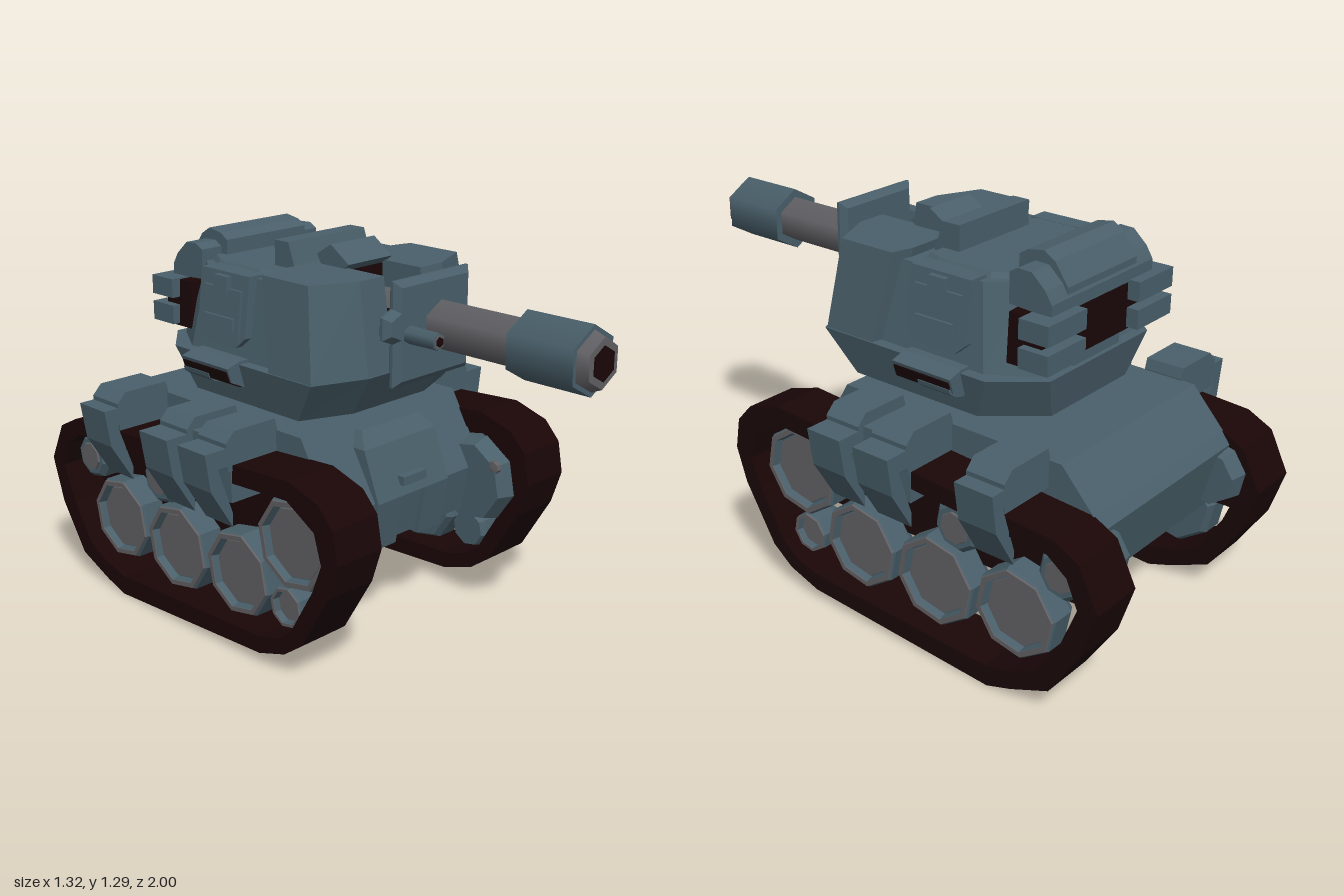
import * as THREE from 'three';

const paint = new THREE.MeshStandardMaterial({ color: 0x495f6a });
paint.name = 'blueGreyPaint';
const rubber = new THREE.MeshStandardMaterial({ color: 0x1a0607 });
rubber.name = 'darkTrack';
const steel = new THREE.MeshStandardMaterial({ color: 0x606064 });
steel.name = 'bareSteel';

// Faceted normals for the low-poly look, except on rounded rods
function flat(geo) {
  if (geo.userData.smooth) return geo;
  const g = geo.index ? geo.toNonIndexed() : geo;
  g.computeVertexNormals();
  return g;
}

// Mirrored copy across x = 0 with the corner order restored
function mirrored(geo) {
  const g = geo.clone();
  const p = g.attributes.position;
  for (let i = 0; i < p.count; i += 3) {
    const t = [0, 2, 1].map(k => [-p.getX(i + k), p.getY(i + k), p.getZ(i + k)]);
    t.forEach((v, k) => p.setXYZ(i + k, ...v));
  }
  return flat(g);
}

const shapeOf = pts => new THREE.Shape(pts.map(p => new THREE.Vector2(...p)));

// Side profile of [z, y] points, extruded from x0 to x1
function alongX(pts, x0, x1, hole) {
  const s = shapeOf(pts);
  if (hole) s.holes.push(shapeOf(hole));
  return new THREE.ExtrudeGeometry(s, { depth: x1 - x0, bevelEnabled: false })
    .rotateY(-Math.PI / 2).translate(x1, 0, 0);
}

// Front profile of [x, y] points, extruded from z0 to z1
function alongZ(pts, z0, z1, bevel = 0) {
  return new THREE.ExtrudeGeometry(shapeOf(pts), {
    depth: z1 - z0, bevelEnabled: bevel > 0, bevelSize: bevel, bevelThickness: bevel, bevelOffset: -bevel, bevelSegments: 1
  }).translate(0, 0, z0);
}

function box(x0, x1, y0, y1, z0, z1) {
  return new THREE.BoxGeometry(x1 - x0, y1 - y0, z1 - z0)
    .translate((x0 + x1) / 2, (y0 + y1) / 2, (z0 + z1) / 2);
}

// Six-sided rod along z with rounded shading
function rod(x, y, z0, z1, rBack, rFront) {
  const g = new THREE.CylinderGeometry(rFront, rBack, z1 - z0, 6)
    .rotateX(Math.PI / 2).translate(x, y, (z0 + z1) / 2);
  g.userData.smooth = true;
  return g;
}

// Turned solid around x; profile of [radius, x] points
function turned(pts, y, z) {
  return new THREE.LatheGeometry(pts.map(p => new THREE.Vector2(...p)), 8, 0.2)
    .rotateZ(-Math.PI / 2).translate(0, y, z);
}

// Solid between two half outlines of [x, z] points, each listed front to back
function frustum(low, high, y0, y1) {
  const full = h => [...h, ...h.map(([x, z]) => [-x, z]).reverse()];
  const a = full(low), b = full(high), n = a.length, v = [];
  const put = (loop, y, i) => v.push(loop[i][0], y, loop[i][1]);
  for (let i = 0; i < n; i++) {
    const j = (i + 1) % n;
    put(a, y0, i); put(a, y0, j); put(b, y1, j);
    put(a, y0, i); put(b, y1, j); put(b, y1, i);
  }
  const cap = loop => THREE.ShapeUtils.triangulateShape(loop.map(([x, z]) => new THREE.Vector2(x, -z)), []);
  cap(a).forEach(t => [t[0], t[2], t[1]].forEach(i => put(a, y0, i)));
  cap(b).forEach(t => t.forEach(i => put(b, y1, i)));
  const g = new THREE.BufferGeometry();
  g.setAttribute('position', new THREE.Float32BufferAttribute(v, 3));
  return g;
}

export function createModel() {
  const model = new THREE.Group();
  model.name = 'tank';
  const add = (name, geo, mat = paint) => {
    const mesh = new THREE.Mesh(flat(geo), mat);
    mesh.name = name;
    model.add(mesh);
    return mesh;
  };
  const pair = (name, geo, mat = paint) => {
    const m = add(name + 'Left', geo, mat);
    add(name + 'Right', mirrored(m.geometry), mat);
  };

  // Hull with raised glacis panel
  add('hull', alongX([[0.24, 0.33], [0.27, 0.49], [0.13, 0.73], [-0.73, 0.73], [-0.85, 0.6], [-0.88, 0.56], [-0.82, 0.33]], -0.365, 0.365));
  add('glacisPanel', frustum([[0.17, 0.285], [0.17, 0.1]], [[0.17, 0.22], [0.17, 0.1]], 0.49, 0.66));
  add('glacisPanelTop', frustum([[0.17, 0.22], [0.17, 0.1]], [[0.135, 0.175], [0.135, 0.1]], 0.66, 0.71));
  pair('lowerFrontPlate', alongX([[0.2, 0.315], [0.255, 0.315], [0.285, 0.49], [0.2, 0.49]], 0.055, 0.17));
  add('towBlock', box(-0.055, 0.055, 0.525, 0.555, 0.2, 0.29));

  // Tracks and the dark plate behind the wheels
  const outer = [[0.48, 0.46], [0.46, 0.57], [0.4, 0.635], [0.27, 0.675], [-0.84, 0.605], [-0.93, 0.56], [-1, 0.42], [-0.95, 0.26],
    [-0.84, 0.09], [-0.7, 0.03], [-0.61, 0], [0.12, 0.04], [0.24, 0.08], [0.32, 0.14], [0.44, 0.34]];
  const inner = [[0.41, 0.44], [0.38, 0.54], [0.26, 0.61], [-0.82, 0.55], [-0.89, 0.5], [-0.93, 0.41],
    [-0.88, 0.28], [-0.79, 0.14], [-0.7, 0.095], [-0.6, 0.07], [0.12, 0.1], [0.21, 0.125], [0.27, 0.17], [0.37, 0.34]];
  pair('track', alongX(outer, 0.36, 0.55, inner), rubber);
  pair('trackBackPlate', alongX([[0.38, 0.3], [0.44, 0.47], [0.4, 0.58], [0.27, 0.63], [-0.83, 0.57], [-0.95, 0.45], [-0.92, 0.32]], 0.387, 0.41), rubber);

  // Wheels set inside the track: [name, z, y, radius, groove ratio]
  [['roadWheelFront', -0.04, 0.25, 0.152, 0.84], ['roadWheelMiddle', -0.355, 0.245, 0.157, 0.84], ['roadWheelRear', -0.67, 0.26, 0.152, 0.84],
    ['driveWheel', 0.225, 0.435, 0.16, 0.84], ['tensionWheel', 0.195, 0.21, 0.072, 0.8]].forEach(([name, z, y, r, f]) => {
    pair(name, turned([[0, 0.39], [r * 0.9, 0.39], [r, 0.415], [r, 0.49], [r * 0.95, 0.5], [r * f, 0.5], [r * f * 0.95, 0.475], [0, 0.475]], y, z));
    pair(name + 'Rim', turned([[r * f, 0.498], [r * 0.97, 0.498], [r * 0.95, 0.504], [r * f, 0.504], [r * f, 0.498]], y, z), steel);
    pair(name + 'Face', turned([[0, 0.472], [r * f * 0.92, 0.472], [r * f * 0.9, 0.482], [0, 0.482]], y, z), steel);
  });
  // Painted rollers with a steel centre
  [['returnRoller', -0.44, 0.47, 0.09], ['rearIdler', -0.83, 0.455, 0.086]].forEach(([name, z, y, r]) => {
    pair(name, turned([[0, 0.39], [r, 0.39], [r, 0.48], [r * 0.8, 0.5], [0, 0.5]], y, z));
    pair(name + 'Face', turned([[0, 0.498], [r * 0.62, 0.498], [r * 0.58, 0.507], [0, 0.507]], y, z), steel);
  });
  // Inner hubs beside the hull
  [['driveHub', 0.265, 0.44, 0.16], ['idlerHub', -0.84, 0.455, 0.11]].forEach(([name, z, y, r]) => {
    pair(name, turned([[0, 0.295], [r * 0.88, 0.295], [r, 0.355], [r, 0.385], [0, 0.385]], y, z));
  });
  pair('hubCap', turned([[0, 0.293], [0.024, 0.296], [0.024, 0.316], [0, 0.316]], 0.515, 0.374), steel);

  // Fender boxes with hanging side flaps: [z0, z1, outer x]
  [[-0.12, 0.015, 0.66], [-0.315, -0.175, 0.66], [-0.685, -0.545, 0.63]].forEach(([z0, z1, x]) => {
    pair('sideFlap', alongZ([[0.37, 0.66], [x - 0.05, 0.66], [x - 0.105, 0.5], [x - 0.105, 0.45], [x - 0.02, 0.59], [x, 0.72], [0.37, 0.72]], z0, z1));
    pair('fenderBox', alongZ([[0.36, 0.64], [0.57, 0.64], [0.575, 0.735], [0.54, 0.77], [0.37, 0.77], [0.36, 0.735]], z0, z1));
  });
  pair('fenderShelf', box(0.36, 0.553, 0.53, 0.73, -0.31, 0.01));

  // Turret: flared base, wide front armour with a gun slot, narrower rear body
  add('turretBase', frustum(
    [[0.17, 0.17], [0.345, 0.1], [0.345, -0.4], [0.2, -0.57]],
    [[0.2, 0.27], [0.385, 0.2], [0.385, -0.46], [0.26, -0.605]], 0.775, 0.92));
  add('turretFront', frustum(
    [[0.085, 0.05], [0.085, 0.265], [0.2, 0.265], [0.38, 0.195], [0.38, 0], [0.3, -0.02]],
    [[0.085, 0.05], [0.085, 0.22], [0.19, 0.22], [0.345, 0.15], [0.345, -0.06], [0.27, -0.08]], 0.92, 1.22));
  add('turretRear', frustum(
    [[0.345, 0.04], [0.345, -0.42], [0.25, -0.57]],
    [[0.305, 0.04], [0.3, -0.38], [0.22, -0.48]], 0.92, 1.19));
  add('gunSlotFloor', box(-0.085, 0.085, 0.92, 0.928, 0.05, 0.25), rubber);
  add('gunSlotBack', box(-0.085, 0.085, 0.92, 1.21, 0.045, 0.054), rubber);

  // Gun, muzzle sleeve and bore
  add('gunBarrel', rod(0, 1.08, 0.05, 0.74, 0.08, 0.08), steel);
  add('muzzleSleeve', rod(0, 1.08, 0.72, 0.96, 0.109, 0.109));
  add('muzzleRing', rod(0, 1.08, 0.95, 0.996, 0.098, 0.078), steel);
  add('bore', rod(0, 1.08, 0.993, 1, 0.054, 0.054), rubber);

  // Gun shield and small gun beside the barrel
  add('gunShield', alongZ([[-0.2, 0.91], [0.145, 0.91], [0.145, 1.245], [-0.2, 1.245], [-0.2, 1.16], [-0.245, 1.14], [-0.245, 1.07], [-0.2, 1.05]], 0.357, 0.367, 0.02));
  add('shieldMount', box(-0.084, 0.084, 1.035, 1.115, 0.2, 0.35), rubber);
  add('smallGun', rod(-0.145, 1.075, 0.36, 0.505, 0.03, 0.028));
  add('smallGunRing', rod(-0.145, 1.075, 0.5, 0.508, 0.023, 0.023), steel);
  add('smallGunBore', rod(-0.145, 1.075, 0.504, 0.511, 0.016, 0.016), rubber);

  // Roof: sight hood, hatch plate and cross bar
  add('sightHood', alongX([[0.05, 1.21], [0.08, 1.235], [0, 1.29], [-0.065, 1.25], [-0.04, 1.21]], -0.1, 0.1));
  add('roofBar', alongX([[-0.08, 1.18], [-0.12, 1.29], [-0.185, 1.29], [-0.185, 1.18]], -0.175, 0.175));
  add('roofPlate', frustum([[0.25, -0.1], [0.27, -0.16], [0.27, -0.38], [0.22, -0.46]], [[0.23, -0.12], [0.25, -0.17], [0.25, -0.37], [0.2, -0.45]], 1.18, 1.205));

  // Rear stowage roll with a wrap, and racks with dark blocks behind
  add('stowageRoll', alongX([[-0.45, 1.13], [-0.45, 1.23], [-0.48, 1.247], [-0.53, 1.245], [-0.58, 1.2], [-0.605, 1.16], [-0.605, 1.12]], -0.265, 0.265));
  add('rollWrap', alongX([[-0.42, 1.18], [-0.42, 1.255], [-0.45, 1.275], [-0.51, 1.285], [-0.55, 1.26], [-0.6, 1.19], [-0.6, 1.15]], -0.18, 0.18));
  add('rearBustle', box(-0.12, 0.12, 0.92, 1.14, -0.59, -0.42));
  [0.968, 1.06].forEach(y => pair('rearRack', box(0.14, 0.33, y, y + 0.065, -0.643, -0.535)));
  pair('rackBlock', frustum([[0, -0.46], [0.305, -0.475], [0.305, -0.6], [0, -0.6]], [[0, -0.46], [0.29, -0.475], [0.29, -0.6], [0, -0.6]], 0.96, 1.12)
    .scale(0.58, 1, 1).translate(0.128, 0, 0), rubber);

  // Side hatches leaning with the turret wall
  const lean = geo => {
    const p = geo.attributes.position;
    for (let i = 0; i < p.count; i++) p.setX(i, p.getX(i) - 0.035 - (p.getY(i) - 0.97) * 0.13);
    return geo;
  };
  pair('sideHatch', lean(alongX([[-0.17, 0.965], [-0.325, 0.965], [-0.365, 1.0], [-0.365, 1.2], [-0.13, 1.2], [-0.13, 1.0]], 0.33, 0.4)));
  pair('hatchDoor', lean(box(0.39, 0.41, 0.985, 1.15, -0.34, -0.155)));
  pair('hatchSlot', lean(box(0.4, 0.42, 1.015, 1.06, -0.32, -0.175)));
  pair('hatchLatch', lean(box(0.39, 0.42, 1.14, 1.19, -0.28, -0.215)));

  // Side lockers with a dark opening and a small step
  pair('sideLocker', alongZ([[0.34, 0.835], [0.365, 0.84], [0.418, 0.865], [0.435, 0.915], [0.38, 0.93], [0.34, 0.93]], -0.365, -0.135));
  pair('lockerOpening', alongZ([[0.375, 0.84], [0.423, 0.863], [0.437, 0.904], [0.432, 0.904], [0.416, 0.866], [0.37, 0.844]], -0.358, -0.142), rubber);
  pair('lockerStep', alongZ([[0.36, 0.834], [0.405, 0.848], [0.428, 0.865], [0.432, 0.88], [0.41, 0.88]], -0.36, -0.235));

  return model;
}
